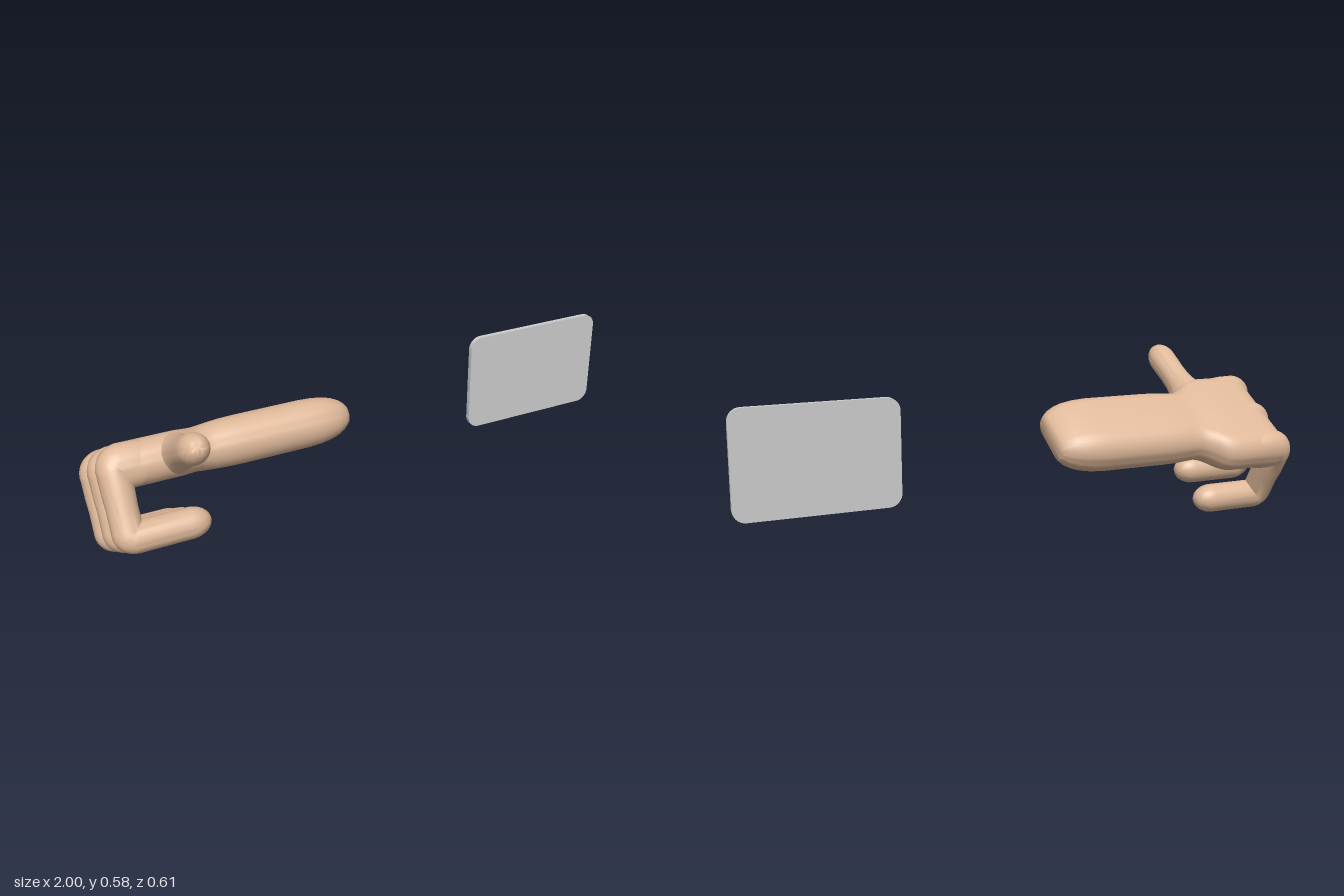
import * as THREE from 'three';
import { toCreasedNormals } from 'three/addons/utils/BufferGeometryUtils.js';

const SEG = 32;

// Sweeps a stadium section along stations [x, y, heading, half thickness, half width].
function sweep(stations) {
  const pos = [], index = [];
  for (const [x, y, a, rn, rz] of stations) {
    const flat = Math.max(rz - rn, 0), round = Math.min(rn, rz);
    for (let j = 0; j < SEG; j++) {
      const t = ((j + 0.5) / SEG) * Math.PI * 2;
      const n = rn * Math.cos(t);
      pos.push(x - Math.sin(a) * n, y + Math.cos(a) * n,
        Math.sign(Math.sin(t)) * flat + round * Math.sin(t));
    }
  }
  const last = stations.length - 1;
  const c0 = pos.length / 3, c1 = c0 + 1;
  pos.push(stations[0][0], stations[0][1], 0, stations[last][0], stations[last][1], 0);
  for (let j = 0; j < SEG; j++) {
    const k = (j + 1) % SEG;
    for (let i = 0; i < last; i++) {
      const p = i * SEG, q = p + SEG;
      index.push(p + j, p + k, q + j, p + k, q + k, q + j);
    }
    index.push(c0, k, j, c1, last * SEG + j, last * SEG + k);
  }
  const geo = new THREE.BufferGeometry();
  geo.setAttribute('position', new THREE.Float32BufferAttribute(pos, 3));
  geo.setIndex(index);
  return toCreasedNormals(geo, 0.8);
}

// Rounded end running along +x from x to x + len.
function tip(x, y, a, r, len) {
  const out = [];
  for (let i = 0; i <= 8; i++) {
    const t = (i / 8) * Math.PI * 0.49;
    out.push([x + len * Math.sin(t), y, a, r * Math.cos(t), r * Math.cos(t)]);
  }
  return out;
}

// Quarter turn to the left, blending the section from r0 to r1.
function bend(cx, cy, radius, a0, r0, r1) {
  const out = [];
  for (let i = 0; i <= 8; i++) {
    const f = i / 8, a = a0 + f * Math.PI / 2;
    const mix = (k) => r0[k] + (r1[k] - r0[k]) * f;
    out.push([cx + radius * Math.sin(a), cy - radius * Math.cos(a), a, mix(0), mix(1)]);
  }
  return out;
}

export function createModel() {
  const model = new THREE.Group();
  const skin = new THREE.MeshStandardMaterial({ color: 0xdeb899 });
  const grey = new THREE.MeshStandardMaterial({ color: 0xcccccc });
  const add = (parent, name, geo, mat) => {
    const mesh = new THREE.Mesh(geo, mat);
    mesh.name = name;
    parent.add(mesh);
    return mesh;
  };

  // Hand, tilted about its forearm axis
  const hand = new THREE.Group();
  hand.name = 'hand';
  hand.position.set(0, 0.333, -0.105);
  hand.rotation.x = -Math.PI / 6;
  model.add(hand);

  // Palm narrowing at the wrist into the forearm: [x, half thickness, half width]
  const palm = [
    [-0.972, 0.03, 0.165], [-0.965, 0.046, 0.185], [-0.95, 0.06, 0.203],
    [-0.93, 0.07, 0.214], [-0.9, 0.075, 0.219], [-0.76, 0.075, 0.219],
    [-0.73, 0.075, 0.214], [-0.71, 0.074, 0.203], [-0.685, 0.073, 0.178],
    [-0.66, 0.073, 0.157], [-0.635, 0.075, 0.146], [-0.6, 0.079, 0.148],
    [-0.56, 0.082, 0.152], [-0.5, 0.0835, 0.1535], [-0.27, 0.0835, 0.1535],
    [-0.22, 0.081, 0.15], [-0.18, 0.075, 0.143], [-0.15, 0.067, 0.133],
    [-0.125, 0.055, 0.12], [-0.108, 0.042, 0.105], [-0.1, 0.033, 0.095],
  ];
  add(hand, 'palmAndForearm', sweep(palm.map(([x, v, w]) => [x, 0, 0, v, w])), skin);

  // Three fingers bent twice: down from the knuckle, then back under the palm
  const finger = sweep([
    [-0.8, 0, Math.PI, 0.06, 0.05],
    [-0.87, 0, Math.PI, 0.074, 0.058],
    ...bend(-0.928, -0.02, 0.02, Math.PI, [0.075, 0.06], [0.052, 0.058]),
    [-0.948, -0.08, Math.PI * 1.5, 0.052, 0.057],
    [-0.948, -0.13, Math.PI * 1.5, 0.05, 0.052],
    ...bend(-0.928, -0.2065, 0.02, Math.PI * 1.5, [0.051, 0.051], [0.052, 0.052]),
    ...tip(-0.75, -0.2265, Math.PI * 2, 0.052, 0.07),
  ]);
  ['frontFinger', 'middleFinger', 'backFinger'].forEach((name, i) => {
    add(hand, name, finger, skin).position.z = 0.161 * (1 - i);
  });

  // Thumb pointing out of the palm's front edge
  const thumb = add(hand, 'thumb', sweep([
    [0.06, 0, 0, 0.07, 0.08], [0.15, 0, 0, 0.07, 0.078], [0.18, 0, 0, 0.066, 0.068],
    [0.21, 0, 0, 0.058, 0.057], [0.25, 0, 0, 0.051, 0.051], [0.3, 0, 0, 0.049, 0.049],
    ...tip(0.39, 0, 0, 0.051, 0.077),
  ]), skin);
  thumb.position.x = -0.745;
  thumb.rotation.y = -Math.PI / 2;

  // Thin upright card with rounded corners
  const w = 0.2775, h = 0.184, r = 0.045;
  const outline = new THREE.Shape();
  outline.absarc(w - r, h - r, r, 0, Math.PI / 2);
  outline.absarc(-w + r, h - r, r, Math.PI / 2, Math.PI);
  outline.absarc(-w + r, -h + r, r, Math.PI, Math.PI * 1.5);
  outline.absarc(w - r, -h + r, r, Math.PI * 1.5, Math.PI * 2);
  const card = add(model, 'card',
    new THREE.ExtrudeGeometry(outline, { depth: 0.018, bevelEnabled: false, curveSegments: 8 }), grey);
  card.position.set(0.7225, 0.334, -0.12);

  return model;
}
